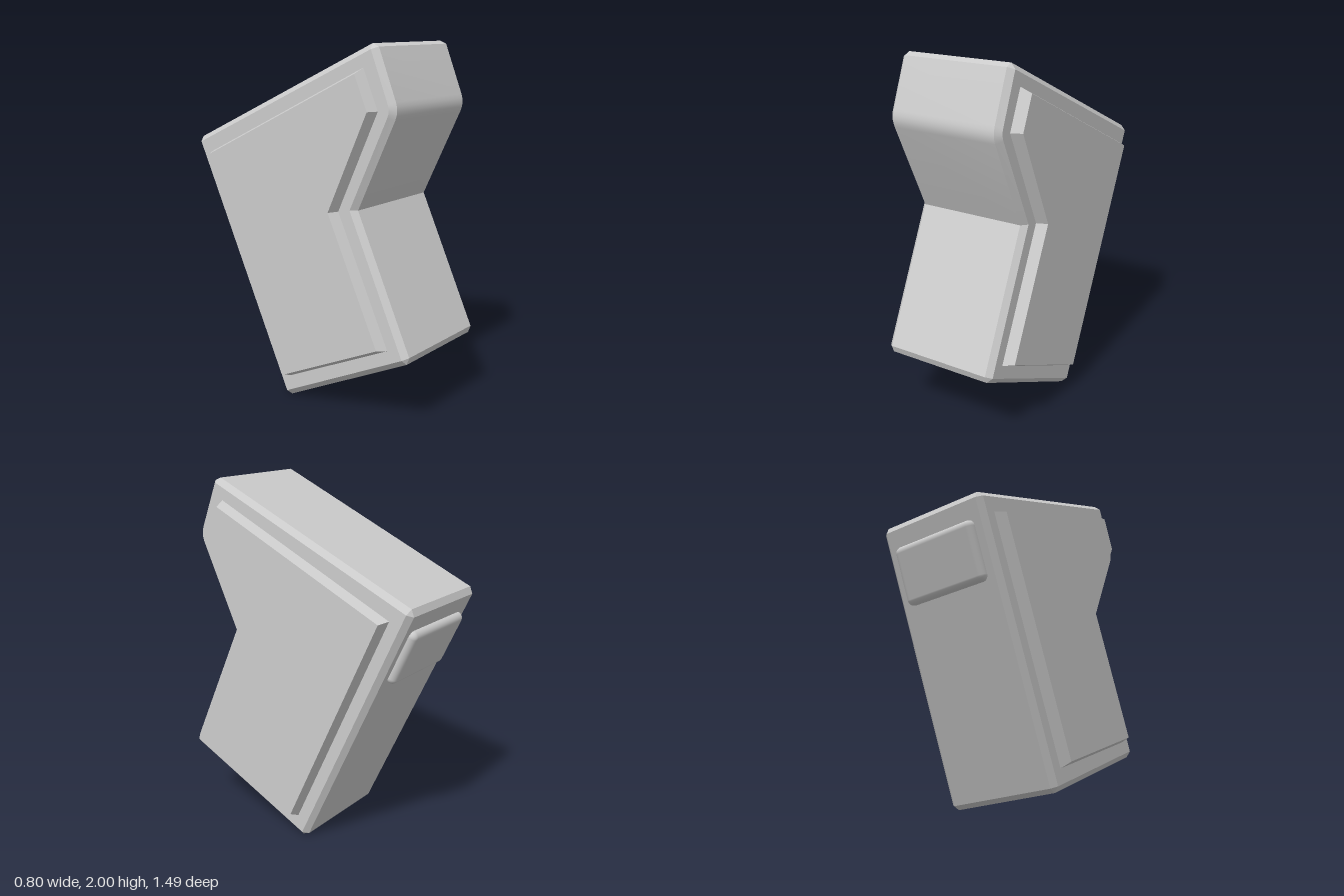
import * as THREE from 'three';
import { toCreasedNormals } from 'three/addons/utils/BufferGeometryUtils.js';
import { RoundedBoxGeometry } from 'three/addons/geometries/RoundedBoxGeometry.js';

// Profiles are [-z, y] points, counter-clockwise when seen from +x.
const toVectors = (list) => list.map(([u, v]) => new THREE.Vector2(u, v));

// Move every edge of a profile inwards by d, with mitred corners.
function inset(points, d) {
  const normal = (a, b) => new THREE.Vector2(a.y - b.y, b.x - a.x).normalize();
  return points.map((p, i) => {
    const n1 = normal(points.at(i - 1), p);
    const n2 = normal(p, points[(i + 1) % points.length]);
    return p.clone().addScaledVector(n1.clone().add(n2), d / (1 + n1.dot(n2)));
  });
}

// Replace each corner by a short curve; one step gives a straight chamfer.
function cutCorners(points, cuts, steps) {
  return points.flatMap((p, i) => {
    if (!steps[i]) return [p];
    const toward = (q) => p.clone().addScaledVector(q.clone().sub(p).normalize(), cuts[i]);
    const a = toward(points.at(i - 1));
    const b = toward(points[(i + 1) % points.length]);
    return new THREE.QuadraticBezierCurve(a, p, b).getPoints(steps[i]);
  });
}

// Join rings of equal length across x and close both ends.
function loft(rings) {
  const positions = [];
  const at = (ring, i) => {
    const p = ring.points[i % ring.points.length];
    return new THREE.Vector3(ring.x, p.y, -p.x);
  };
  const tri = (a, b, c) => {
    if (new THREE.Triangle(a, b, c).getArea() < 1e-8) return;
    for (const p of [a, b, c]) positions.push(p.x, p.y, p.z);
  };
  for (let k = 0; k < rings.length - 1; k++) {
    const lo = rings[k], hi = rings[k + 1];
    for (let i = 0; i < lo.points.length; i++) {
      tri(at(lo, i), at(lo, i + 1), at(hi, i + 1));
      tri(at(lo, i), at(hi, i + 1), at(hi, i));
    }
  }
  const first = rings[0], last = rings.at(-1);
  for (const [a, b, c] of THREE.ShapeUtils.triangulateShape(last.outline, [])) {
    // cap outlines are sharp-cornered; map them back to the ring's x
    const cap = (ring, i) => new THREE.Vector3(ring.x, ring.outline[i].y, -ring.outline[i].x);
    tri(cap(last, a), cap(last, b), cap(last, c));
    tri(cap(first, c), cap(first, b), cap(first, a));
  }
  const geometry = new THREE.BufferGeometry();
  geometry.setAttribute('position', new THREE.Float32BufferAttribute(positions, 3));
  return toCreasedNormals(geometry, 0.4);
}

export function createModel() {
  const group = new THREE.Group();
  const material = new THREE.MeshStandardMaterial({ color: 0xcccccc });
  const add = (name, geometry) => {
    const mesh = new THREE.Mesh(geometry, material);
    mesh.name = name;
    group.add(mesh);
    return mesh;
  };

  // Leaning body: chamfered edges and corners, rounded convex bend at the front
  const profile = toVectors([
    [-0.52, 2.013], [-0.655, 1.675], [-0.41, 1.15],
    [-0.757, 0.395], [0.085, -0.012], [0.762, 1.43],
  ]);
  const steps = [1, 4, 0, 1, 1, 1];
  const outer = cutCorners(profile, [0.03, 0.05, 0, 0.03, 0.03, 0.03], steps);
  const sideOutline = inset(profile, 0.03);
  const side = cutCorners(sideOutline, [0, 0.035, 0, 0, 0, 0], steps);
  const ring = (x, points) => ({ x, points, outline: side });
  add('body', loft([ring(-0.34, side), ring(-0.31, outer), ring(0.31, outer), ring(0.34, side)]));

  // Raised side panels with sloping edges
  const base = toVectors([
    [-0.46, 1.885], [-0.552, 1.672], [-0.305, 1.135],
    [-0.63, 0.44], [0.045, 0.125], [0.628, 1.37],
  ]);
  const top = inset(base, 0.023);
  for (const [name, s] of [['leftPanel', 1], ['rightPanel', -1]]) {
    const rings = [
      { x: s * 0.335, points: base, outline: s > 0 ? top : top },
      { x: s * 0.4, points: top, outline: top },
    ];
    add(name, loft(s > 0 ? rings : rings.reverse()));
  }

  // Soft pad on the upper back
  const pad = add('backPad', new RoundedBoxGeometry(0.53, 0.33, 0.08, 4, 0.035));
  pad.position.set(0, 1.162, -0.636);
  pad.rotation.x = -THREE.MathUtils.degToRad(25);

  return group;
}
